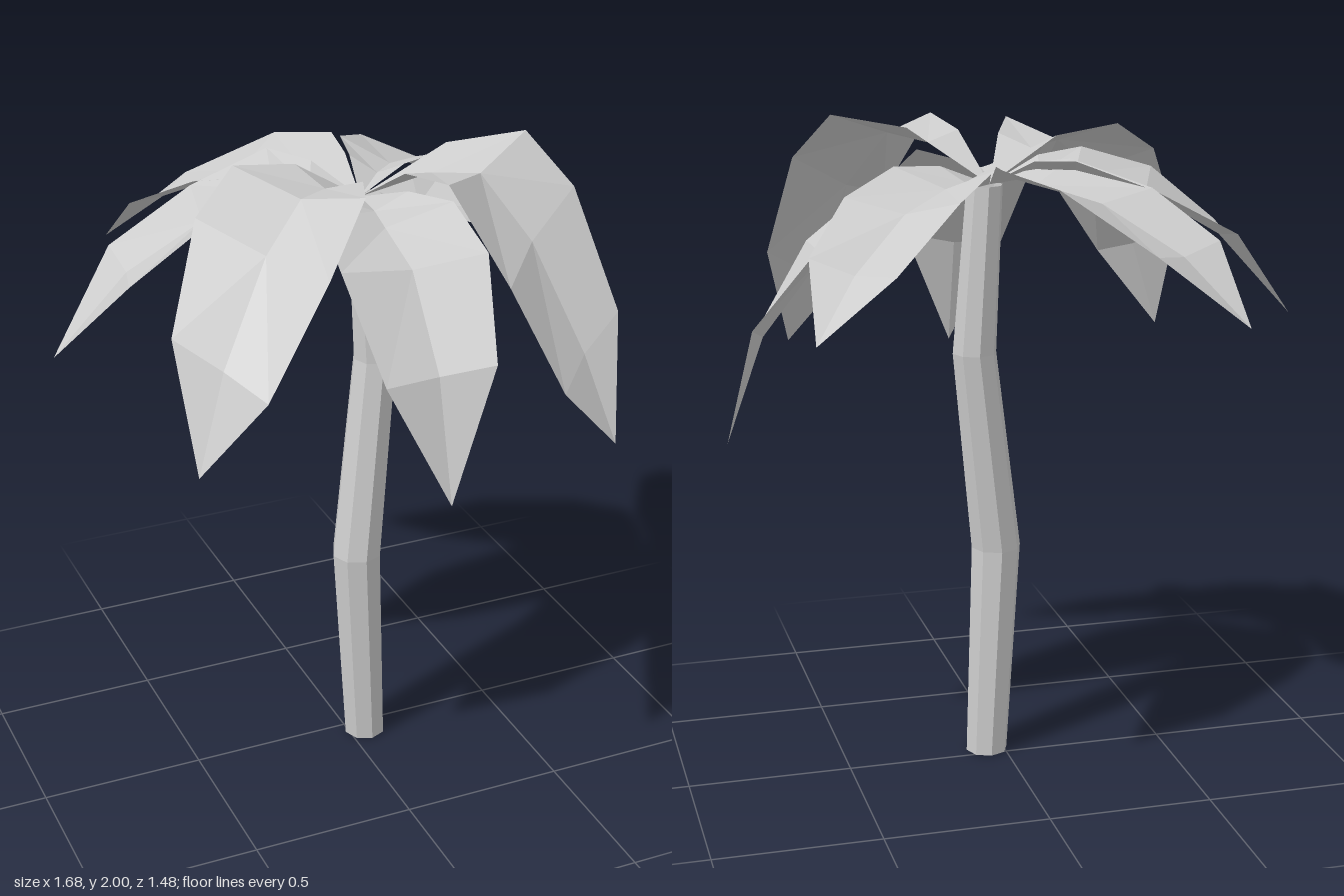
import * as THREE from 'three';

const paleGrey = new THREE.MeshStandardMaterial({ color: 0xcccccc, flatShading: true, side: THREE.DoubleSide });
paleGrey.name = 'paleGrey';

const crown = new THREE.Vector3(0.05, 1.83, 0);
const foldDepth = [0.045, 0.06, 0.045, 0.03];

// Each frond: three pairs of edge points from the crown outwards, then the tip
const fronds = {
  frontFrond: [
    [[-0.19, 1.87, 0.27], [0.2, 1.87, 0.3]],
    [[-0.2, 1.775, 0.44], [0.21, 1.79, 0.5]],
    [[-0.155, 1.51, 0.64], [0.155, 1.54, 0.68]],
    [0, 1.17, 0.735]],
  frontLeftFrond: [
    [[0.13, 1.965, 0.41], [0.485, 2.0, 0.176]],
    [[0.25, 1.7, 0.56], [0.58, 1.86, 0.3]],
    [[0.38, 1.4, 0.66], [0.635, 1.54, 0.49]],
    [0.55, 1.215, 0.66]],
  leftFrond: [
    [[0.36, 1.76, 0.275], [0.42, 1.84, -0.135]],
    [[0.55, 1.615, 0.265], [0.59, 1.66, -0.14]],
    [[0.725, 1.35, 0.2], [0.775, 1.43, -0.1]],
    [0.84, 1.065, 0.03]],
  backLeftFrond: [
    [[0.35, 1.88, -0.07], [0.11, 1.89, -0.285]],
    [[0.52, 1.82, -0.2], [0.245, 1.83, -0.435]],
    [[0.665, 1.7, -0.435], [0.46, 1.67, -0.605]],
    [0.69, 1.51, -0.665]],
  backRightFrond: [
    [[0.095, 1.895, -0.315], [-0.18, 1.88, -0.06]],
    [[-0.025, 1.86, -0.475], [-0.36, 1.82, -0.27]],
    [[-0.245, 1.7, -0.67], [-0.49, 1.7, -0.48]],
    [-0.49, 1.505, -0.74]],
  rightFrond: [
    [[-0.14, 1.9, -0.245], [-0.26, 1.89, 0.1]],
    [[-0.37, 1.81, -0.27], [-0.485, 1.82, 0.115]],
    [[-0.63, 1.67, -0.255], [-0.67, 1.66, 0.05]],
    [-0.845, 1.4, -0.14]],
  frontRightFrond: [
    [[-0.35, 1.965, 0.03], [-0.1, 1.95, 0.375]],
    [[-0.5, 1.87, 0.135], [-0.25, 1.77, 0.48]],
    [[-0.635, 1.6, 0.295], [-0.455, 1.48, 0.545]],
    [-0.625, 1.25, 0.455]],
};

// Extra point on the arched stretch between the crown and the first section
function archPoint(edge) {
  const p = crown.clone().lerp(edge, 0.52);
  p.y = crown.y + (edge.y - crown.y) * 0.8;
  return p;
}

// Leaf with a valley fold along its middle, pointed at the crown and at the tip
function makeFrond(name, [...sections]) {
  const tip = new THREE.Vector3(...sections.pop());
  const pairs = sections.map(pair => pair.map(p => new THREE.Vector3(...p)));
  pairs.unshift(pairs[0].map(archPoint));
  const centres = pairs.map(([a, b]) => a.clone().add(b).multiplyScalar(0.5));
  const base = crown.clone().setY(1.805);

  const rows = [[base, base, base]];
  pairs.forEach(([a, b], i) => {
    const along = (centres[i + 1] ?? tip).clone().sub(centres[i - 1] ?? crown);
    const normal = along.cross(b.clone().sub(a)).normalize();
    if (normal.y < 0) normal.negate();
    rows.push([a, centres[i].clone().addScaledVector(normal, -foldDepth[i]), b]);
  });
  rows.push([tip, tip, tip]);

  // Two triangles per cell, mirrored about the fold, single ones at both ends
  const points = [];
  for (let r = 0; r < rows.length - 1; r++) {
    const [a, m, b] = rows[r], [a2, m2, b2] = rows[r + 1];
    if (a !== m) points.push(a, a2, m, m, b2, b);
    if (a2 !== m2) points.push(a2, m2, m, m, m2, b2);
  }
  const geometry = new THREE.BufferGeometry().setFromPoints(points);
  geometry.computeVertexNormals();
  const mesh = new THREE.Mesh(geometry, paleGrey);
  mesh.name = name;
  return mesh;
}

// Bent, hollow eight-sided trunk: centre and radius of each ring
function makeTrunk() {
  const rings = [
    [0.053, 0, 0.042, 0.065],
    [0.018, 0.67, 0.055, 0.077],
    [0.095, 1.3, 0.01, 0.067],
    [0.065, 1.805, 0, 0.055],
  ];
  const geometry = new THREE.CylinderGeometry(1, 1, 1, 8, 3, true);
  const p = geometry.attributes.position;
  for (let i = 0; i < p.count; i++) {
    const [x, y, z, r] = rings[Math.round((p.getY(i) + 0.5) * 3)];
    p.setXYZ(i, x + p.getX(i) * r, y, z + p.getZ(i) * r);
  }
  geometry.computeVertexNormals();
  const mesh = new THREE.Mesh(geometry, paleGrey);
  mesh.name = 'trunk';
  return mesh;
}

export function createModel() {
  const palm = new THREE.Group();
  palm.name = 'palmTree';
  palm.add(makeTrunk());
  for (const [name, sections] of Object.entries(fronds)) palm.add(makeFrond(name, sections));
  return palm;
}
